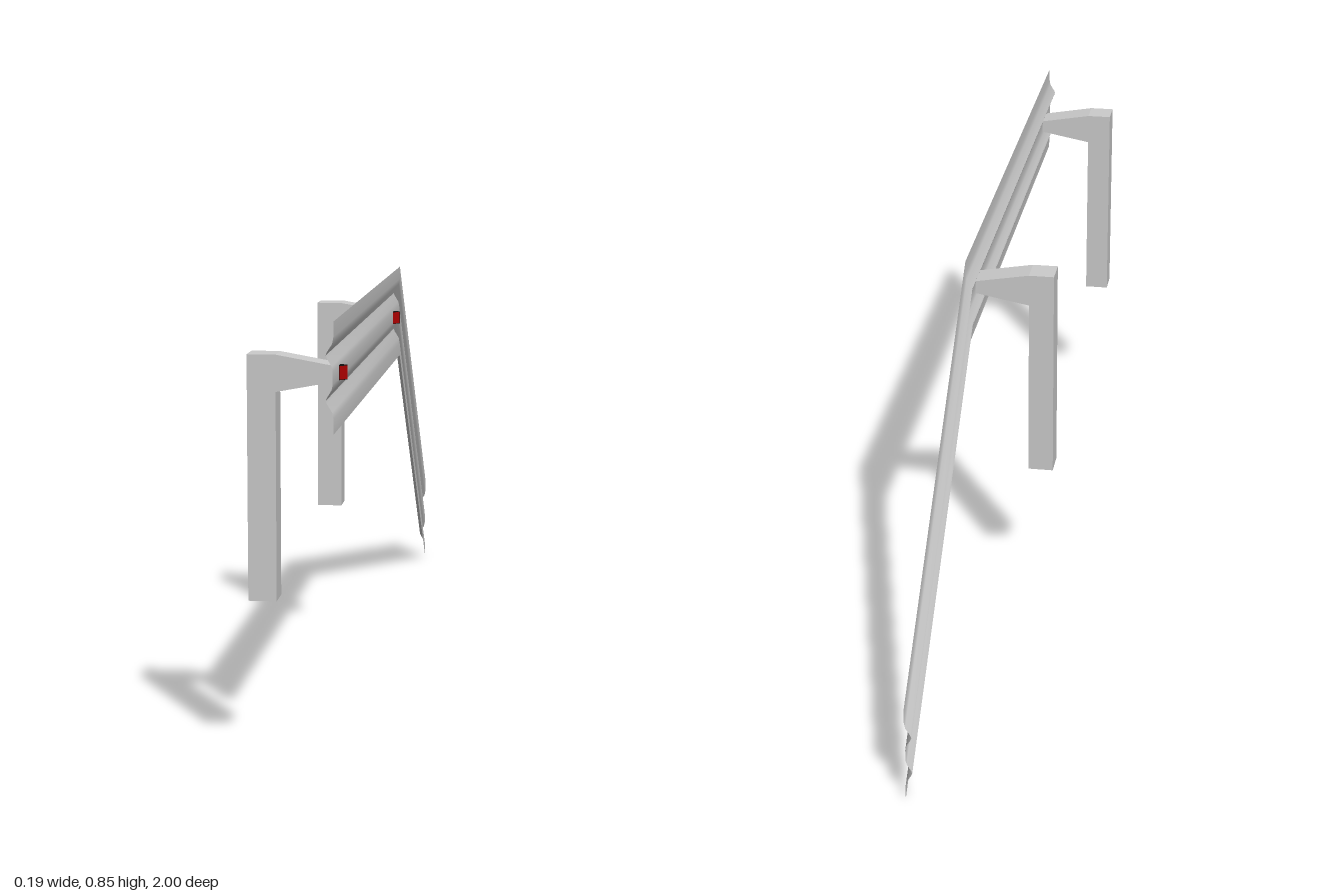
import * as THREE from 'three';
import { toCreasedNormals } from 'three/addons/utils/BufferGeometryUtils.js';

const grey = new THREE.MeshStandardMaterial({ color: 0xcccccc });
const sheet = new THREE.MeshStandardMaterial({ color: 0xcccccc, side: THREE.DoubleSide });
const black = new THREE.MeshStandardMaterial({ color: 0x111111 });
const red = new THREE.MeshStandardMaterial({ color: 0xaa0000 });
const white = new THREE.MeshStandardMaterial({ color: 0xffffff });

const MID_Y = 0.7475; // height of the rail's centre line

function add(parent, name, geometry, material) {
  const mesh = new THREE.Mesh(geometry, material);
  mesh.name = name;
  parent.add(mesh);
  return mesh;
}

// Extrude an xy outline along z, centred on z = 0
function slab(points, depth) {
  const shape = new THREE.Shape(points.map(([x, y]) => new THREE.Vector2(x, y)));
  return new THREE.ExtrudeGeometry(shape, { depth, bevelEnabled: false }).translate(0, 0, -depth / 2);
}

// Corrugated sheet: a mirrored profile swept along z, sheared down at the end
function railGeometry() {
  const half = [[0.08, 0.1055], [0.08, 0.077], [0.0775, 0.064], [0.0675, 0.048], [0.0655, 0.0425],
    [0.0675, 0.037], [0.0765, 0.022], [0.0785, 0.012]]; // x, height above the centre line
  const profile = [...half, ...half.slice().reverse().map(([x, y]) => [x, -y])];
  const stations = [[1, 0], [-0.26, 0], [-1, -0.642]]; // z, drop
  const positions = [], index = [];
  const n = profile.length;
  stations.forEach(([z, drop], s) => {
    profile.forEach(([x, y], i) => {
      positions.push(x, MID_Y + y + drop, z);
      if (s > 0 && i > 0) {
        const a = (s - 1) * n + i - 1, b = a + 1, c = s * n + i - 1, d = c + 1;
        index.push(a, b, c, b, d, c);
      }
    });
  });
  const geometry = new THREE.BufferGeometry();
  geometry.setAttribute('position', new THREE.Float32BufferAttribute(positions, 3));
  geometry.setIndex(index);
  return toCreasedNormals(geometry, 0.6);
}

// Wedge reflector: dark housing with a red front panel and a white back panel
function makeReflector() {
  const reflector = new THREE.Group();
  reflector.name = 'reflector';
  const depth = 0.015, halfWidth = 0.014, height = 0.028;
  const wedge = slab([[0, -halfWidth], [depth, 0], [0, halfWidth]], height).rotateX(-Math.PI / 2);
  add(reflector, 'reflectorHousing', wedge, black);
  const length = Math.hypot(depth, halfWidth);
  for (const side of [1, -1]) {
    const panel = add(reflector, side > 0 ? 'redPanel' : 'whitePanel',
      new THREE.PlaneGeometry(length * 0.92, height * 0.92), side > 0 ? red : white);
    const nx = halfWidth / length, nz = side * depth / length;
    panel.position.set(depth / 2 + nx * 0.0004, 0, side * halfWidth / 2 + nz * 0.0004);
    panel.rotation.y = Math.atan2(nx, nz);
  }
  return reflector;
}

export function createModel() {
  const model = new THREE.Group();
  model.name = 'guardRail';
  add(model, 'rail', railGeometry(), sheet);

  // Post with tapered arm, as one bracket outline
  const bracket = slab([[-0.095, 0.305], [-0.04, 0.305], [-0.04, 0.71], [0.078, 0.732],
    [0.078, 0.76], [-0.04, 0.781], [-0.095, 0.781]], 0.06);
  for (const z of [0.893, -0.123]) {
    const support = new THREE.Group();
    support.name = 'support';
    support.position.z = z;
    add(support, 'post', bracket, grey);
    const reflector = makeReflector();
    reflector.position.set(0.0785, 0.746, 0);
    support.add(reflector);
    model.add(support);
  }
  return model;
}
